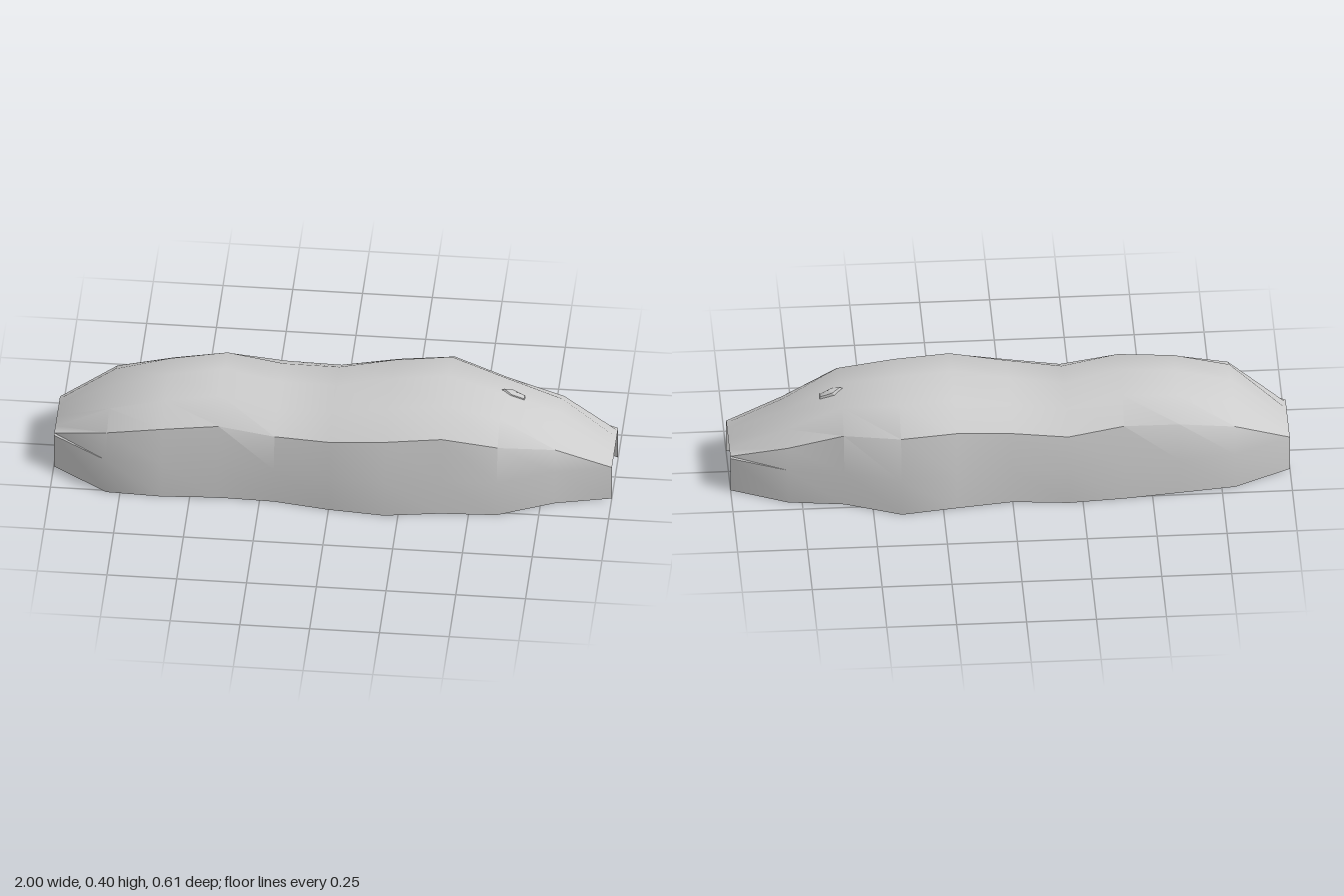
import * as THREE from 'three';
import { toCreasedNormals } from 'three/addons/utils/BufferGeometryUtils.js';

const EDGE = 0.135; // height of the side skirt

// one row per station along x: [ridge height, front base z, back base z]
const STATIONS = [
  [0.135, 0.125, -0.115], [0.3, 0.26, -0.213], [0.355, 0.268, -0.237], [0.382, 0.255, -0.26],
  [0.335, 0.26, -0.274], [0.352, 0.29, -0.255], [0.391, 0.306, -0.28], [0.397, 0.275, -0.308],
  [0.355, 0.265, -0.23], [0.265, 0.175, -0.205], [0.135, 0.128, -0.116],
];

// half section from base to ridge: [share of half width, share of height above the skirt]
const HALF = [[1, null], [0.965, 0], [0.85, 0.62], [0.5, 0.905], [0, 1]];
const SECTION = [
  ...HALF.map(([w, h]) => [w, h]),
  ...HALF.slice(0, -1).reverse().map(([w, h]) => [-w, h]),
];

// open arched shell, lofted through the stations
function shellGeometry() {
  const positions = [], index = [], n = SECTION.length;
  STATIONS.forEach(([top, front, back], i) => {
    const centre = (front + back) / 2, half = (front - back) / 2;
    for (const [w, h] of SECTION) {
      const y = h === null ? 0 : EDGE + (top - EDGE) * h;
      positions.push(-1 + i * 0.2, y, centre + half * w);
    }
    if (i === STATIONS.length - 1) return;
    for (let j = 0; j < n - 1; j++) {
      const a = i * n + j, b = a + n;
      index.push(a, b, a + 1, b, b + 1, a + 1);
    }
  });
  const geometry = new THREE.BufferGeometry();
  geometry.setAttribute('position', new THREE.Float32BufferAttribute(positions, 3));
  geometry.setIndex(index);
  return toCreasedNormals(geometry, 0.7);
}

export function createModel() {
  const group = new THREE.Group();
  group.name = 'bodyShell';
  const grey = new THREE.MeshStandardMaterial({ color: 0xcccccc, side: THREE.DoubleSide });
  grey.name = 'light grey';

  const shell = new THREE.Mesh(shellGeometry(), grey);
  shell.name = 'shell';
  group.add(shell);

  // small low-poly bump sunk into the sloping end
  const bumpGeometry = toCreasedNormals(new THREE.SphereGeometry(1, 5, 4), 0.5);
  const bump = new THREE.Mesh(bumpGeometry, grey);
  bump.name = 'bump';
  bump.scale.set(0.06, 0.025, 0.024);
  bump.rotation.z = -0.42;
  bump.position.set(0.635, 0.323, -0.011);
  group.add(bump);

  return group;
}
